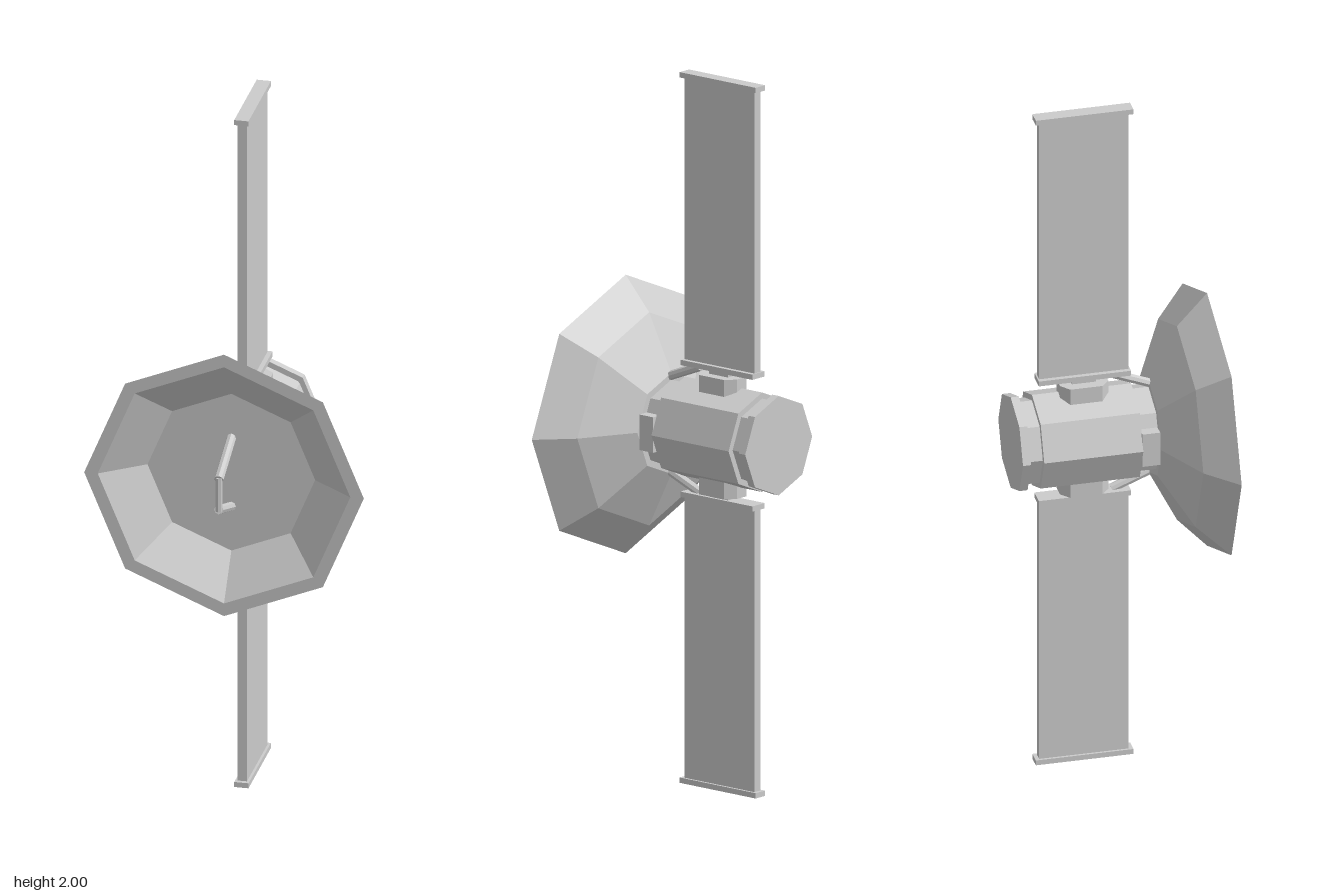
import * as THREE from 'three';

const material = new THREE.MeshStandardMaterial({ color: 0xcccccc, flatShading: true });

export function createModel() {
  const model = new THREE.Group();
  model.name = 'satellite';
  const hub = new THREE.Group(); // everything is laid out around the hub axis
  hub.name = 'hub';
  hub.position.y = 1;
  model.add(hub);

  const add = (name, geometry, parent = hub) => {
    const mesh = new THREE.Mesh(geometry, material);
    mesh.name = name;
    parent.add(mesh);
    return mesh;
  };

  // Box given by its half width in x and its ranges in y and z
  const block = (name, hx, y0, y1, z0, z1, parent) =>
    add(name, new THREE.BoxGeometry(2 * hx, y1 - y0, z1 - z0), parent)
      .position.set(0, (y0 + y1) / 2, (z0 + z1) / 2);

  // Octagonal drum along z
  const drum = (name, radius, z0, z1) =>
    add(name, new THREE.CylinderGeometry(radius, radius, z1 - z0, 8).rotateX(Math.PI / 2))
      .position.set(0, 0, (z0 + z1) / 2);

  // Rod between two points [y, z] on the centre plane
  const rod = (name, a, b, radius, parent) => {
    const p = new THREE.Vector3(0, ...a), q = new THREE.Vector3(0, ...b);
    const mesh = add(name, new THREE.CylinderGeometry(radius, radius, p.distanceTo(q), 8), parent);
    mesh.position.copy(p).add(q).multiplyScalar(0.5);
    mesh.quaternion.setFromUnitVectors(new THREE.Vector3(0, 1, 0), q.sub(p).normalize());
  };

  // Body
  drum('body', 0.14, -0.253, 0.026);
  drum('rearNeck', 0.123, -0.29, -0.253);
  drum('rearCap', 0.14, -0.313, -0.29);
  drum('frontNeck', 0.123, 0.026, 0.08);
  for (const side of [-1, 1]) {
    add('neckBlock', new THREE.BoxGeometry(0.035, 0.1, 0.05)).position.set(side * 0.116, 0, 0.05);
  }

  // Dish with a thick wall and a flat floor
  const profile = [[0, 0.075], [0.142, 0.075], [0.3, 0.155], [0.392, 0.24],
    [0.354, 0.24], [0.235, 0.15], [0, 0.15]].map(([r, z]) => new THREE.Vector2(r, z));
  add('dish', new THREE.LatheGeometry(profile, 8).rotateX(Math.PI / 2));

  // Antenna feed
  for (const side of [-1, 1]) {
    rod('feedArm', [side * 0.104, 0.145], [side * 0.045, 0.303], 0.013);
  }
  rod('feedBar', [-0.05, 0.301], [0.05, 0.301], 0.01);

  // Chamfered plan of the wing mounts
  const plan = new THREE.Shape([[0.047, 0.045], [0.02, 0.068], [-0.02, 0.068], [-0.047, 0.045],
    [-0.047, -0.045], [-0.02, -0.068], [0.02, -0.068], [0.047, -0.045]]
    .map(([x, z]) => new THREE.Vector2(x, z)));

  // Upper and lower wings, the lower one turned half a turn about z
  for (const name of ['upperWing', 'lowerWing']) {
    const wing = new THREE.Group();
    wing.name = name;
    wing.rotation.z = name === 'lowerWing' ? Math.PI : 0;
    hub.add(wing);
    add('mount', new THREE.ExtrudeGeometry(plan, { depth: 0.068, bevelEnabled: false })
      .rotateX(-Math.PI / 2), wing).position.set(0, 0.1, -0.111);
    block('mountNeck', 0.018, 0.16, 0.182, -0.145, -0.077, wing);
    block('innerRail', 0.026, 0.178, 0.193, -0.24, 0.02, wing);
    block('panel', 0.013, 0.19, 0.99, -0.236, 0.016, wing);
    block('outerRail', 0.02, 0.985, 1, -0.247, 0.028, wing);
    rod('brace', [0.178, -0.03], [0.134, 0.08], 0.013, wing);
  }

  return model;
}
